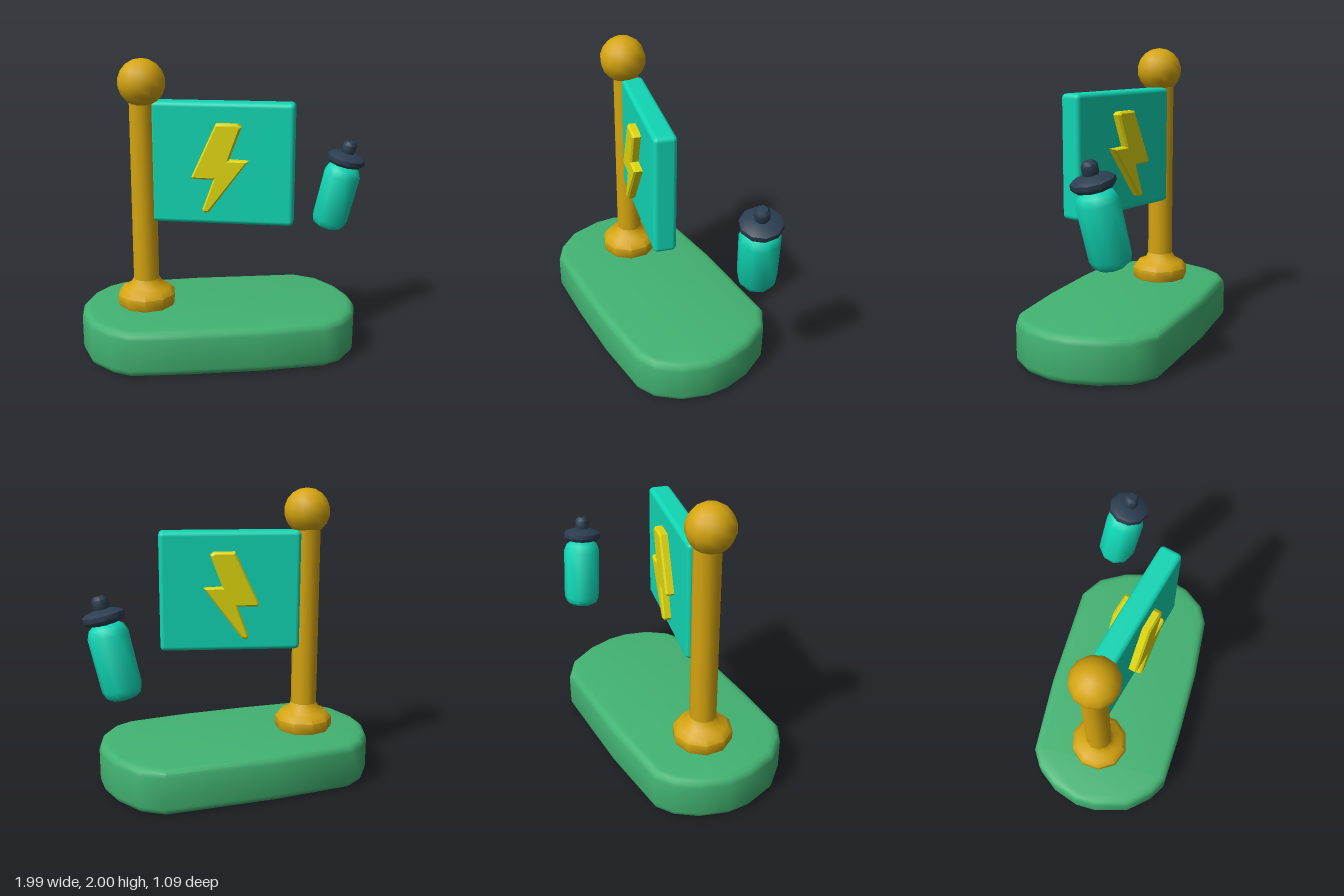
import * as THREE from 'three';
import { toCreasedNormals } from 'three/addons/utils/BufferGeometryUtils.js';
import { RoundedBoxGeometry } from 'three/addons/geometries/RoundedBoxGeometry.js';

const mat = (name, color) => {
  const m = new THREE.MeshStandardMaterial({ color });
  m.name = name;
  return m;
};

function add(parent, name, geometry, material, x = 0, y = 0, z = 0) {
  const mesh = new THREE.Mesh(geometry, material);
  mesh.name = name;
  mesh.position.set(x, y, z);
  parent.add(mesh);
  return mesh;
}

// Extrudes an outline, with bevels kept inside the outline and total depth
function slab(points, depth, bevel, segments, crease) {
  const shape = new THREE.Shape(points.map(([x, y]) => new THREE.Vector2(x, y)));
  const g = new THREE.ExtrudeGeometry(shape, {
    depth: depth - 2 * bevel, bevelEnabled: true, bevelSize: bevel,
    bevelOffset: -bevel, bevelThickness: bevel, bevelSegments: segments,
  });
  g.translate(0, 0, bevel);
  return toCreasedNormals(g, crease);
}

// Turned part from [radius, height] pairs
const turned = (profile, sides, crease = 0.85) => toCreasedNormals(
  new THREE.LatheGeometry(profile.map(([r, y]) => new THREE.Vector2(r, y)), sides), crease);

export function createModel() {
  const model = new THREE.Group();
  model.name = 'flagOnBase';
  const green = mat('grassGreen', 0x42b372);
  const gold = mat('gold', 0xd4a40f);
  const teal = mat('teal', 0x10d6b4);
  const yellow = mat('yellow', 0xdfd60f);
  const navy = mat('darkSlate', 0x2c3e50);

  // Uneven rounded base, outline given as x, z
  const outline = [
    [-1, -0.03], [-0.99, 0.12], [-0.91, 0.34], [-0.77, 0.48], [-0.65, 0.54], [-0.25, 0.53],
    [0.2, 0.5], [0.63, 0.44], [0.75, 0.37], [0.85, 0.22], [0.89, 0.04], [0.88, -0.1],
    [0.82, -0.28], [0.7, -0.46], [0.54, -0.55], [-0.2, -0.51], [-0.75, -0.44],
    [-0.86, -0.36], [-0.95, -0.22],
  ].map(([x, z]) => [x, -z]).reverse();
  const base = slab(outline, 0.31, 0.05, 3, 0.7);
  base.rotateX(-Math.PI / 2);
  add(model, 'base', base, green);

  // Pole with flared foot and ball
  const px = -0.555;
  add(model, 'pole', turned([[0.09, 0.3], [0.088, 1.76]], 10), gold, px);
  add(model, 'poleFoot', turned(
    [[0, 0.29], [0.185, 0.3], [0.2, 0.33], [0.2, 0.39], [0.165, 0.43], [0.115, 0.45], [0.088, 0.5]], 10),
  gold, px);
  add(model, 'ball', new THREE.SphereGeometry(0.157, 12, 9), gold, px, 1.838, 0.018);

  // Flag panel turned slightly about the pole
  const flag = new THREE.Group();
  flag.name = 'flag';
  flag.position.set(-0.03, 1.315, 0.065);
  flag.rotation.y = -0.18;
  model.add(flag);
  add(flag, 'flagPanel', new RoundedBoxGeometry(0.95, 0.81, 0.15, 3, 0.03), teal);

  // Lightning bolt passing through the panel, standing out on both sides
  const bolt = slab([
    [-0.03, 0.275], [0.11, 0.275], [0.135, 0.255], [0.055, 0.04], [0.18, 0.035],
    [-0.075, -0.31], [-0.11, -0.315], [-0.12, -0.295], [-0.045, -0.09], [-0.18, -0.09], [-0.19, -0.075],
  ], 0.26, 0.012, 1, 0.5);
  add(flag, 'lightningBolt', bolt, yellow, 0, 0, -0.13);

  // Tilted floating bottle
  const bottle = new THREE.Group();
  bottle.name = 'bottle';
  const bottom = new THREE.Vector3(0.75, 0.745, -0.345);
  const axis = new THREE.Vector3(0.885, 1.39, -0.262).sub(bottom).normalize();
  bottle.position.copy(bottom);
  bottle.quaternion.setFromUnitVectors(new THREE.Vector3(0, 1, 0), axis);
  model.add(bottle);
  add(bottle, 'bottleBody', turned(
    [[0, 0], [0.08, 0.003], [0.115, 0.025], [0.13, 0.07], [0.132, 0.41], [0.112, 0.46], [0.075, 0.485], [0, 0.487]], 9),
  teal);
  add(bottle, 'bottleCap', turned(
    [[0, 0.478], [0.07, 0.48], [0.12, 0.495], [0.136, 0.515], [0.134, 0.545], [0.11, 0.56], [0.05, 0.575], [0, 0.578]], 10),
  navy);
  add(bottle, 'bottleSpout', turned(
    [[0.04, 0.56], [0.05, 0.59], [0.05, 0.635], [0.033, 0.657], [0, 0.66]], 8), navy);

  return model;
}
